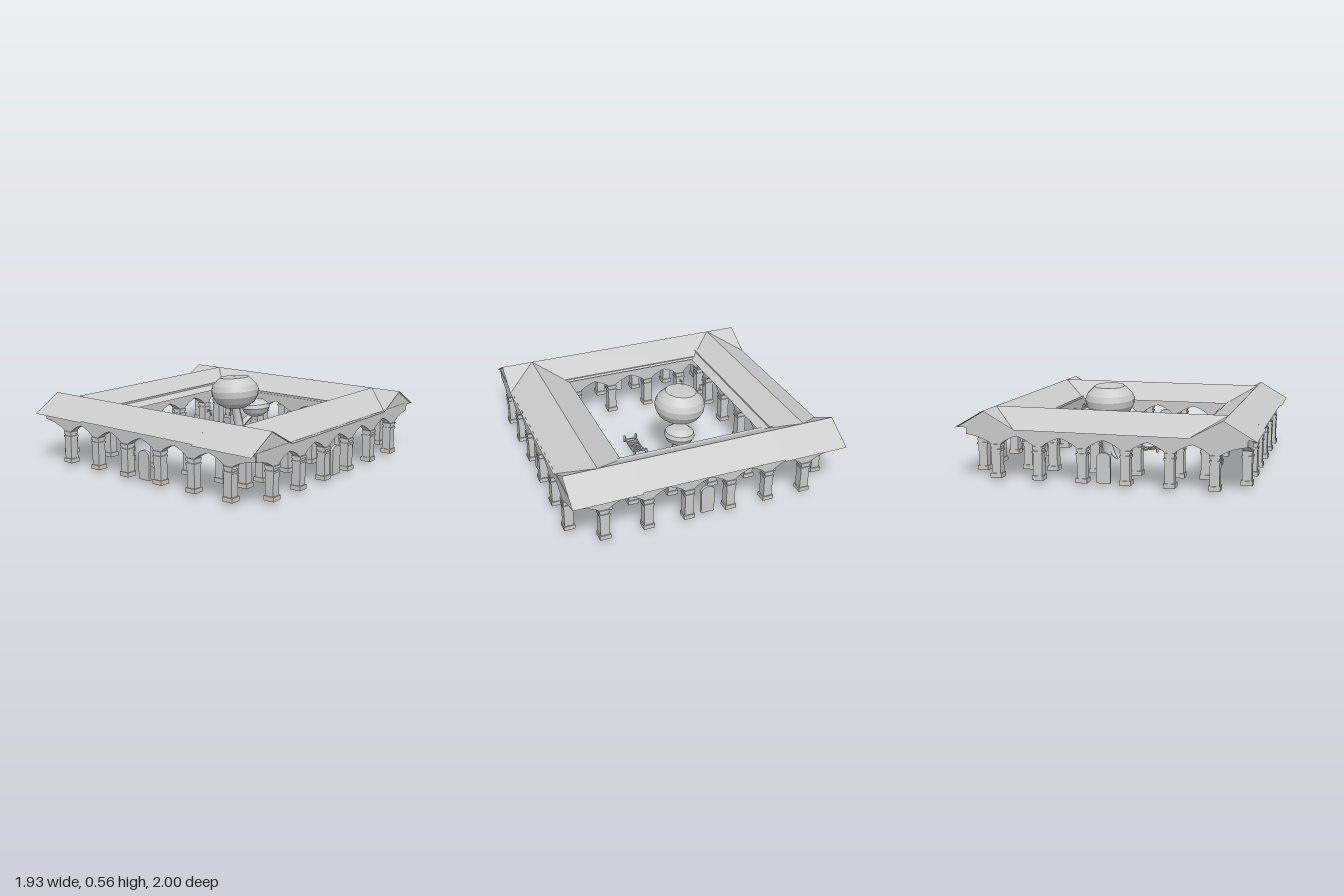
import * as THREE from 'three';
import { toCreasedNormals } from 'three/addons/utils/BufferGeometryUtils.js';

const grey = new THREE.MeshStandardMaterial({ color: 0xcccccc });
const sheet = new THREE.MeshStandardMaterial({ color: 0xcccccc, side: THREE.DoubleSide });
const V = (x, y, z) => new THREE.Vector3(x, y, z);

function add(parent, name, geometry, x = 0, y = 0, z = 0, material = grey) {
  const mesh = new THREE.Mesh(geometry, material);
  mesh.name = name;
  mesh.position.set(x, y, z);
  parent.add(mesh);
  return mesh;
}

function group(parent, name) {
  const g = new THREE.Group();
  g.name = name;
  parent.add(g);
  return g;
}

// Flat polygon from corners in order
function face(parent, name, corners) {
  const pos = [];
  for (let i = 1; i < corners.length - 1; i++) pos.push(...corners[0], ...corners[i], ...corners[i + 1]);
  const g = new THREE.BufferGeometry();
  g.setAttribute('position', new THREE.Float32BufferAttribute(pos, 3));
  g.computeVertexNormals();
  add(parent, name, g, 0, 0, 0, sheet);
}

// Tube whose radius runs from r0 to r1
function taperedTube(points, r0, r1, sides = 8) {
  const curve = new THREE.CatmullRomCurve3(points), n = 12;
  const g = new THREE.TubeGeometry(curve, n, 1, sides);
  const p = g.attributes.position, v = V(0, 0, 0);
  for (let i = 0; i < p.count; i++) {
    const t = Math.floor(i / (sides + 1)) / n, c = curve.getPointAt(t);
    v.fromBufferAttribute(p, i).sub(c).multiplyScalar(r0 + (r1 - r0) * t).add(c);
    p.setXYZ(i, v.x, v.y, v.z);
  }
  g.computeVertexNormals();
  return g;
}

// Square pillar: plinth, shaft and stepped capital
function column(parent, x, z) {
  const g = group(parent, 'column');
  for (const [w, y0, y1] of [[0.076, 0.025, 0.055], [0.062, 0.055, 0.205], [0.072, 0.205, 0.218],
    [0.06, 0.218, 0.232], [0.07, 0.232, 0.25]]) {
    add(g, 'columnBlock', new THREE.BoxGeometry(w, y1 - y0, w), x, (y0 + y1) / 2, z);
  }
}

// Beam with a scalloped underside resting on the columns at the given stations
function arcade(parent, stations, start, end, top) {
  const low = 0.245, high = 0.31, s = new THREE.Shape();
  const first = stations[0], last = stations[stations.length - 1];
  s.moveTo(start, top);
  if (start < first - 0.05) {
    s.lineTo(start, high);
    s.quadraticCurveTo(first - 0.09, 0.295, first - 0.025, low);
  } else s.lineTo(start, low);
  stations.forEach((c, i) => {
    s.lineTo(c + 0.025, low);
    if (i === stations.length - 1) return;
    const n = stations[i + 1], m = (c + n) / 2, q = (n - c) * 0.27;
    s.quadraticCurveTo(m - q, 0.287, m, high);
    s.quadraticCurveTo(m + q, 0.287, n - 0.025, low);
  });
  if (end > last + 0.05) {
    s.quadraticCurveTo(last + 0.09, 0.295, end, high);
  } else s.lineTo(end, low);
  s.lineTo(end, top);
  const g = new THREE.ExtrudeGeometry(s, { depth: 0.056, bevelEnabled: false, curveSegments: 5 });
  g.translate(0, 0, -0.028);
  return add(parent, 'arcade', g);
}

// Small lamp hanging from a bracket, reaching along (dx, dz)
function lantern(parent, x, z, dx, dz) {
  const g = group(parent, 'lantern');
  g.position.set(x, 0, z);
  g.rotation.y = Math.atan2(-dz, dx);
  add(g, 'bracket', new THREE.BoxGeometry(0.045, 0.006, 0.006), 0.05, 0.19, 0);
  add(g, 'bracketBrace', new THREE.BoxGeometry(0.03, 0.004, 0.004), 0.042, 0.18, 0).rotation.z = 0.6;
  add(g, 'chain', new THREE.BoxGeometry(0.003, 0.02, 0.003), 0.069, 0.18, 0);
  add(g, 'lamp', new THREE.CylinderGeometry(0.006, 0.009, 0.024, 6), 0.069, 0.158, 0);
}

// Round-topped slab standing between two outer columns
function doorSlab(parent, x, z, turn) {
  const s = new THREE.Shape();
  s.moveTo(-0.047, 0.025);
  s.lineTo(0.047, 0.025);
  s.lineTo(0.047, 0.2);
  s.quadraticCurveTo(0.035, 0.225, 0, 0.227);
  s.quadraticCurveTo(-0.035, 0.225, -0.047, 0.2);
  const g = new THREE.ExtrudeGeometry(s, { depth: 0.02, bevelEnabled: false, curveSegments: 5 });
  g.translate(0, 0, -0.01);
  add(parent, 'doorSlab', g, x, 0, z).rotation.y = turn;
}

function roofs(parent) {
  const g = group(parent, 'roof');
  const top = 0.475, xs = [-0.97, -0.505, 0.495, 0.96];
  for (const k of [-1, 1]) {
    // Front and back wings in three lengths, the corners a little deeper
    for (let i = 0; i < 3; i++) {
      const a = xs[i], b = xs[i + 1], zo = k * (i === 1 ? 0.99 : 1), yo = i === 1 ? 0.358 : 0.352;
      face(g, 'outerSlope', [[a, yo, zo], [b, yo, zo], [b, top, k * 0.79], [a, top, k * 0.79]]);
      face(g, 'innerSlope', [[a, 0.36, k * 0.58], [b, 0.36, k * 0.58], [b, top, k * 0.79], [a, top, k * 0.79]]);
    }
    // Side wings meeting the others in valleys
    const outer = k > 0 ? 0.96 : -0.97, inner = k > 0 ? 0.497 : -0.52, ridge = (outer + inner) / 2;
    for (const x of [outer, inner]) {
      face(g, 'sideSlope', [[x, 0.357, 0.58], [x, 0.357, -0.58], [ridge, top, -0.79], [ridge, top, 0.79]]);
    }
    // Gable ends
    const gx = k > 0 ? 0.945 : -0.93;
    for (const s of [-1, 1]) {
      face(g, 'gable', [[gx, 0.352, s * 0.995], [gx, 0.36, s * 0.585], [gx, 0.473, s * 0.79]]);
    }
  }
}

function tree(parent) {
  const g = group(parent, 'tree');
  const crown = (pts) => toCreasedNormals(
    new THREE.LatheGeometry(pts.map(([r, y]) => new THREE.Vector2(r, y)), 20), 0.4);
  const big = add(g, 'largeCrown', crown([[0, -0.115], [0.08, -0.105], [0.145, -0.065], [0.175, -0.015],
    [0.18, 0.03], [0.165, 0.07], [0.11, 0.125], [0, 0.13]]), -0.09, 0.425, -0.18, sheet);
  big.rotation.z = 0.08;
  const small = add(g, 'smallCrown', crown([[0, -0.065], [0.05, -0.058], [0.09, -0.03], [0.108, 0.005],
    [0.1, 0.035], [0.06, 0.065], [0, 0.068]]), -0.02, 0.295, -0.345, sheet);
  small.rotation.z = 0.08;
  add(g, 'trunk', taperedTube([V(-0.055, 0.03, -0.2), V(-0.06, 0.1, -0.215), V(-0.08, 0.2, -0.21),
    V(-0.09, 0.34, -0.18)], 0.042, 0.03));
  add(g, 'branch', taperedTube([V(-0.07, 0.15, -0.21), V(-0.055, 0.2, -0.25), V(-0.03, 0.26, -0.33)], 0.025, 0.016));
  for (const [dx, dz] of [[0.09, 0.03], [-0.03, 0.08], [-0.04, -0.06], [0.05, -0.06]]) {
    add(g, 'root', taperedTube([V(-0.055, 0.1, -0.205), V(-0.055 + dx * 0.4, 0.05, -0.205 + dz * 0.4),
      V(-0.055 + dx, 0.004, -0.205 + dz)], 0.032, 0.006, 6));
  }
}

// Low slatted bench with sagging rails and corner posts
function bench(parent) {
  const g = group(parent, 'bench');
  g.position.set(0.18, 0, 0.01);
  const sag = (z) => 0.038 + 1.4 * z * z;
  for (const x of [-0.04, 0.04]) {
    const pts = [-0.11, -0.05, 0, 0.05, 0.11].map((z) => V(x, sag(z), z));
    add(g, 'rail', new THREE.TubeGeometry(new THREE.CatmullRomCurve3(pts), 10, 0.006, 5));
    for (const z of [-0.11, 0.11]) add(g, 'post', new THREE.CylinderGeometry(0.009, 0.009, 0.05, 6), x * 1.1, 0.05, z);
  }
  for (let i = 0; i < 9; i++) {
    const z = -0.09 + i * 0.0225;
    add(g, 'slat', new THREE.BoxGeometry(0.09, 0.005, 0.01), 0, sag(z) + 0.005, z).rotation.y = i % 2 ? 0.1 : -0.06;
  }
}

export function createModel() {
  const model = new THREE.Group();
  model.name = 'cloister';
  const xs = [-0.705, -0.426, -0.147, 0.152, 0.437, 0.736];
  const zs = [-0.72, -0.43, -0.13, 0.16, 0.448, 0.735];
  const innerX = [-0.605, ...xs.slice(1, 5), 0.628], innerZ = [-0.61, ...zs.slice(1, 5), 0.625];

  roofs(model);
  const cols = group(model, 'columns'), arches = group(model, 'arcades'), doors = group(model, 'doors');

  // Front and back rows
  for (const [zo, zi, k] of [[0.91, 0.625, 1], [-0.9, -0.61, -1]]) {
    xs.forEach((x) => column(cols, x, zo));
    innerX.forEach((x) => column(cols, x, zi));
    arcade(arches, xs, -0.93, 0.945, 0.385).position.z = zo;
    arcade(arches, innerX, -0.63, 0.655, 0.375).position.z = zi;
    doorSlab(doors, 0.01, zo, 0);
    for (const x of [xs[1], xs[4]]) lantern(model, x, zi, 0, -k);
  }

  // Left and right rows
  for (const [xo, xi, k] of [[0.92, 0.628, 1], [-0.9, -0.605, -1]]) {
    zs.forEach((z) => column(cols, xo, z));
    innerZ.slice(1, 5).forEach((z) => column(cols, xi, z));
    for (const [x, st, a, b, top] of [[xo, zs, -0.93, 0.935, 0.365], [xi, innerZ, -0.635, 0.65, 0.4]]) {
      const m = arcade(arches, st.map((z) => -z).reverse(), -b, -a, top);
      m.rotation.y = Math.PI / 2;
      m.position.x = x;
    }
    doorSlab(doors, xo, 0.01, Math.PI / 2);
    for (const z of [zs[1], zs[4]]) lantern(model, xi, z, -k, 0);
  }

  tree(model);
  bench(model);
  return model;
}
